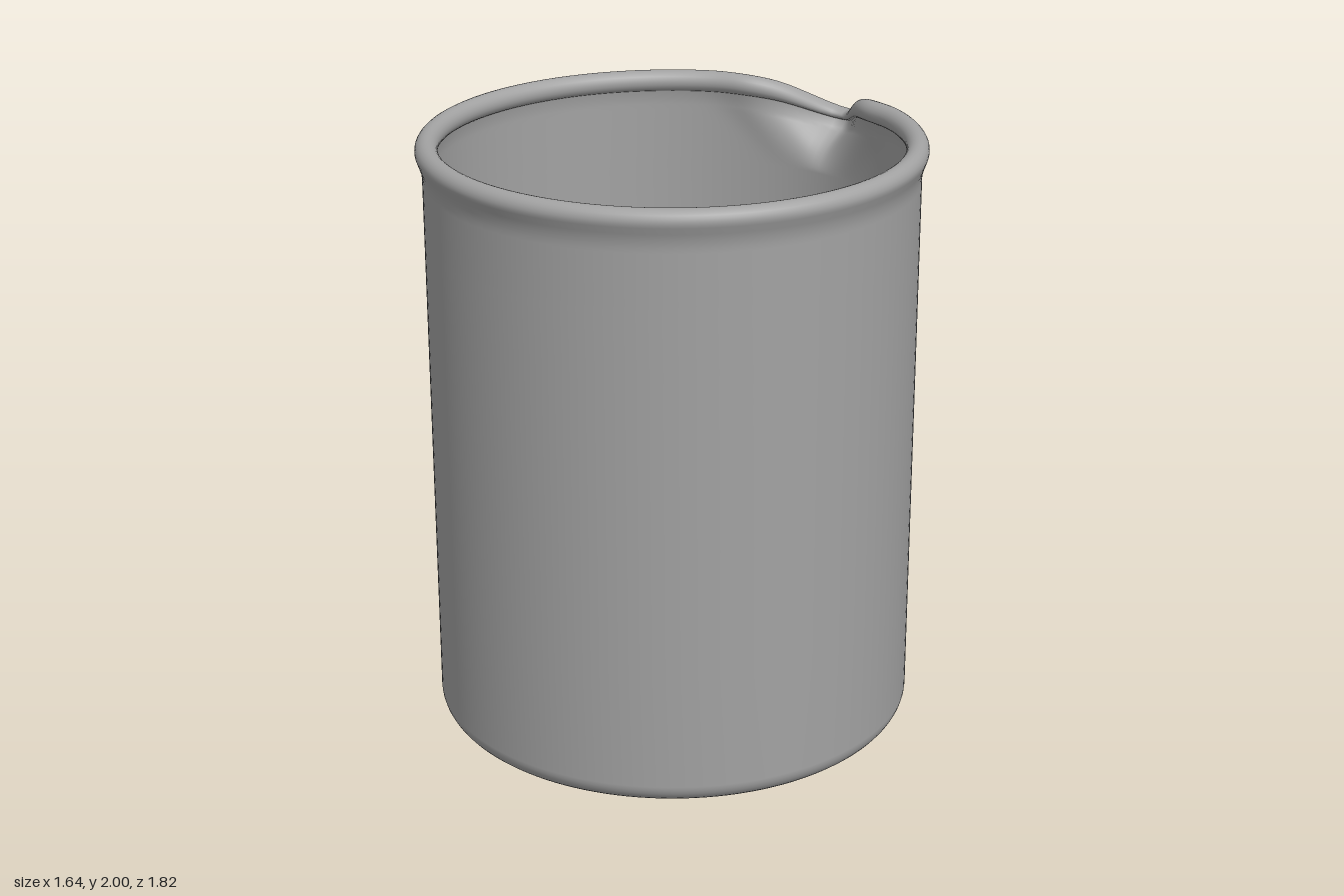
import * as THREE from 'three';
import { mergeVertices } from 'three/addons/utils/BufferGeometryUtils.js';

const R = 0.8;          // outer wall radius
const INNER = 0.775;    // inner wall radius
const RIM_R = 0.784, RIM_Y = 1.963, BEAD = 0.037; // rolled rim
const SPOUT_Y = 1.68, RIM_BASE = 1.88, TOP = 2;   // height range of the spout
const AXIS_Z = 0.085;

// Points along an arc, angles in degrees
function arc(cx, cy, r, from, to, steps) {
  return Array.from({ length: steps + 1 }, (_, i) => {
    const a = THREE.MathUtils.degToRad(from + ((to - from) * i) / steps);
    return new THREE.Vector2(cx + r * Math.cos(a), cy + r * Math.sin(a));
  });
}

// Vertical wall with extra rows where the spout bends it
function wall(r) {
  const points = [0.45, 0.9, 1.3, 1.5].map((y) => new THREE.Vector2(r, y));
  for (let i = 0; i <= 12; i++) {
    points.push(new THREE.Vector2(r, SPOUT_Y + ((RIM_BASE - SPOUT_Y) * i) / 12));
  }
  return points;
}

// Pull the back of the wall and rim out and down into a pouring lip
function shapeSpout(geometry) {
  const pos = geometry.attributes.position;
  for (let i = 0; i < pos.count; i++) {
    const x = pos.getX(i), y = pos.getY(i), z = pos.getZ(i);
    const r = Math.hypot(x, z);
    if (r < 0.74) continue;
    const angle = Math.atan2(x, -z);
    const t = THREE.MathUtils.clamp((y - SPOUT_Y) / (RIM_BASE + 0.02 - SPOUT_Y), 0, 1);
    const out = Math.pow(t, 1.6);
    const down = Math.pow(Math.max(0, (y - SPOUT_Y) / (TOP - SPOUT_Y)), 1.3);
    // The lip narrows towards its lower end
    const deg = THREE.MathUtils.radToDeg(Math.abs(angle)) / (0.45 + 0.55 * t);
    const bump = 0.174 * Math.exp(-Math.pow(deg / 8.8, 1.45));
    const waist = 0.014 * Math.exp(-Math.pow((deg - 19) / 7, 2));
    const drop = 0.13 * Math.exp(-Math.pow(deg / 9.5, 1.6));
    // Slight outward swell of the wall leading up to the lip
    const swell = 0.012 * Math.exp(-Math.pow(angle / 0.25, 2)) * Math.min(y / SPOUT_Y, 1) * (1 - out);
    const newR = r + (bump - waist) * out + swell;
    pos.setXYZ(i, Math.sin(angle) * newR, y - drop * down, -Math.cos(angle) * newR);
  }
}

export function createModel() {
  const group = new THREE.Group();
  group.name = 'beaker';

  // Closed section: underside, outer wall, flared rim, inner wall, floor
  const profile = [
    new THREE.Vector2(0, 0),
    new THREE.Vector2(0.6, 0),
    ...arc(R - 0.07, 0.07, 0.07, -90, 0, 8),
    ...wall(R),
    new THREE.Vector2(0.803, 1.905),
    new THREE.Vector2(0.81, 1.926),
    ...arc(RIM_R, RIM_Y, BEAD, -25, 255, 18),
    ...wall(INNER).reverse(),
    ...arc(INNER - 0.05, 0.075, 0.05, 0, -90, 8),
    new THREE.Vector2(0.6, 0.025),
    new THREE.Vector2(0, 0.025),
  ];
  let geometry = new THREE.LatheGeometry(profile, 192);
  shapeSpout(geometry);

  // Weld the seam so the surface shades smoothly all round
  geometry.deleteAttribute('normal');
  geometry.deleteAttribute('uv');
  geometry = mergeVertices(geometry, 1e-5);
  geometry.computeVertexNormals();

  const material = new THREE.MeshStandardMaterial({ color: 0xa2a2a2, side: THREE.DoubleSide });
  const body = new THREE.Mesh(geometry, material);
  body.name = 'beakerBody';
  body.position.z = AXIS_Z;
  group.add(body);
  return group;
}
